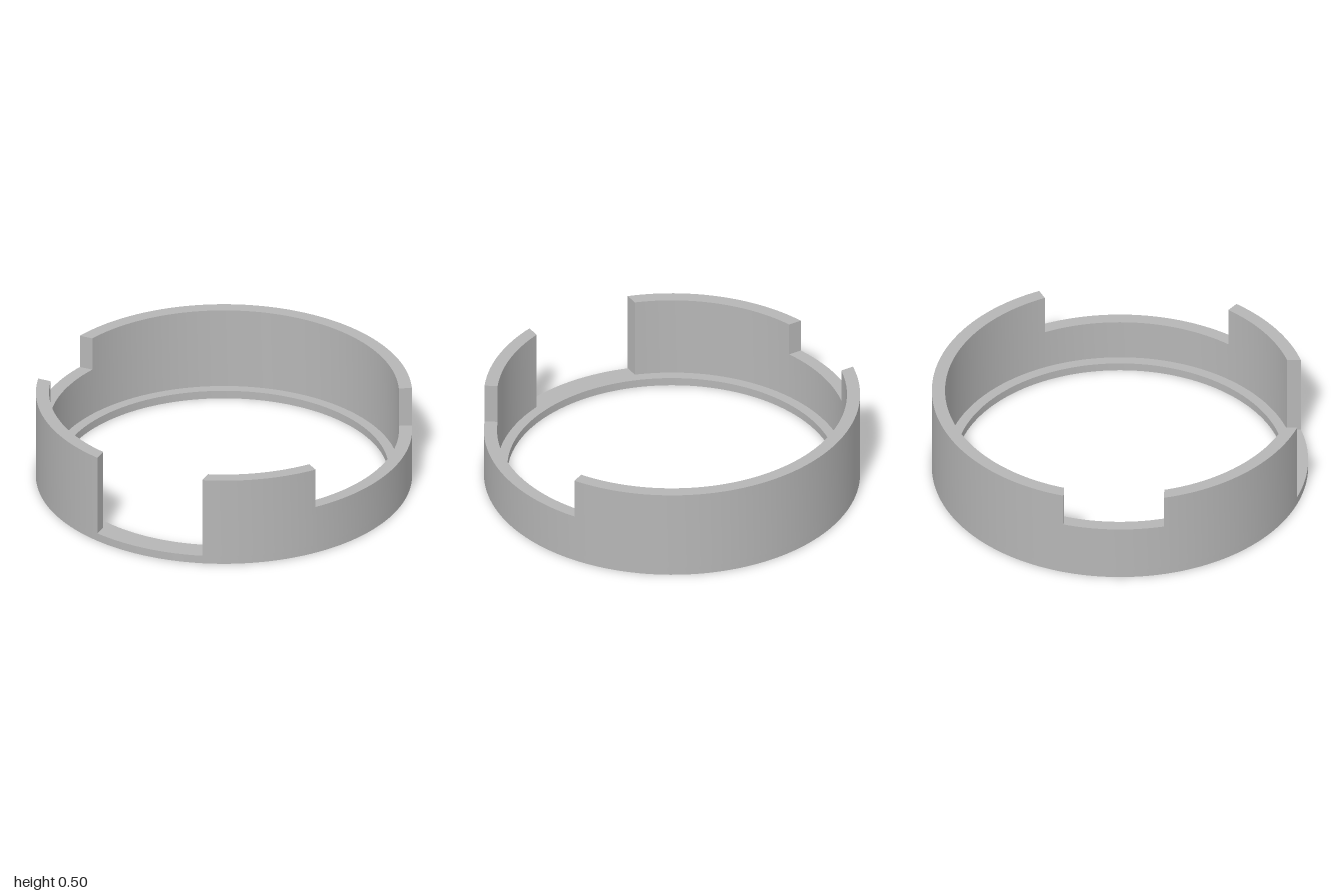
import * as THREE from 'three';
import { toCreasedNormals } from 'three/addons/utils/BufferGeometryUtils.js';

const OUTER = 1, WALL = 0.93, LIP = 0.875;
const LIP_TOP = 0.045, HEIGHT = 0.5;
const STEP = 2; // degrees per facet
const rad = THREE.MathUtils.degToRad;
const deg = THREE.MathUtils.radToDeg;

// Plan points on a circle; angles run from +x towards the back (-z)
function arc(r, from, to) {
  const angles = [from];
  for (let a = Math.ceil((from + 0.1) / STEP) * STEP; a < to - 0.1; a += STEP) angles.push(a);
  angles.push(to);
  return angles.map(a => new THREE.Vector2(r * Math.cos(rad(a)), r * Math.sin(rad(a))));
}

// Cut planes: radial, or parallel to an axis at a sideways offset
const radialCut = a => ({ outer: a, inner: a });
const straightCut = (axis, offset) => ({
  outer: axis + deg(Math.asin(offset / OUTER)),
  inner: axis + deg(Math.asin(offset / WALL)),
});

// Extrude a plan shape upwards from y0 to y1
function raise(shape, y0, y1) {
  const geo = new THREE.ExtrudeGeometry(shape, { depth: y1 - y0, bevelEnabled: false });
  geo.rotateX(-Math.PI / 2);
  geo.translate(0, y0, 0);
  return toCreasedNormals(geo, 0.5);
}

export function createModel() {
  const group = new THREE.Group();
  group.name = 'notchedRing';
  const grey = new THREE.MeshStandardMaterial({ color: 0xb6b6b6 });
  grey.name = 'grey';

  const add = (name, geo) => {
    const mesh = new THREE.Mesh(geo, grey);
    mesh.name = name;
    group.add(mesh);
  };

  // Full base ring with the inward lip
  const base = new THREE.Shape(arc(OUTER, 0, 360).slice(0, -1));
  base.holes.push(new THREE.Path(arc(LIP, 0, 360).slice(0, -1)));
  add('baseLip', raise(base, 0, LIP_TOP));

  // Wall sectors between the cuts, each with its own height
  const notchFront = radialCut(-36.4), notchBack = radialCut(27.3);
  const sideBack = straightCut(180, -0.268), sideFront = straightCut(180, 0.265);
  const gapRight = straightCut(270, -0.306), gapLeft = straightCut(-90, 0.306);
  const sectors = [
    ['leftLowWall', notchFront, notchBack, 0.275],
    ['backWall', notchBack, sideBack, HEIGHT],
    ['rightLowWall', sideBack, sideFront, 0.312],
    ['frontRightWall', sideFront, gapRight, HEIGHT],
    ['frontLeftWall', gapLeft, notchFront, HEIGHT],
  ];
  for (const [name, a, b, top] of sectors) {
    const outline = [
      ...arc(OUTER, a.outer, b.outer),
      ...arc(WALL, a.inner, b.inner).reverse(),
    ];
    add(name, raise(new THREE.Shape(outline), LIP_TOP, top));
  }
  return group;
}
